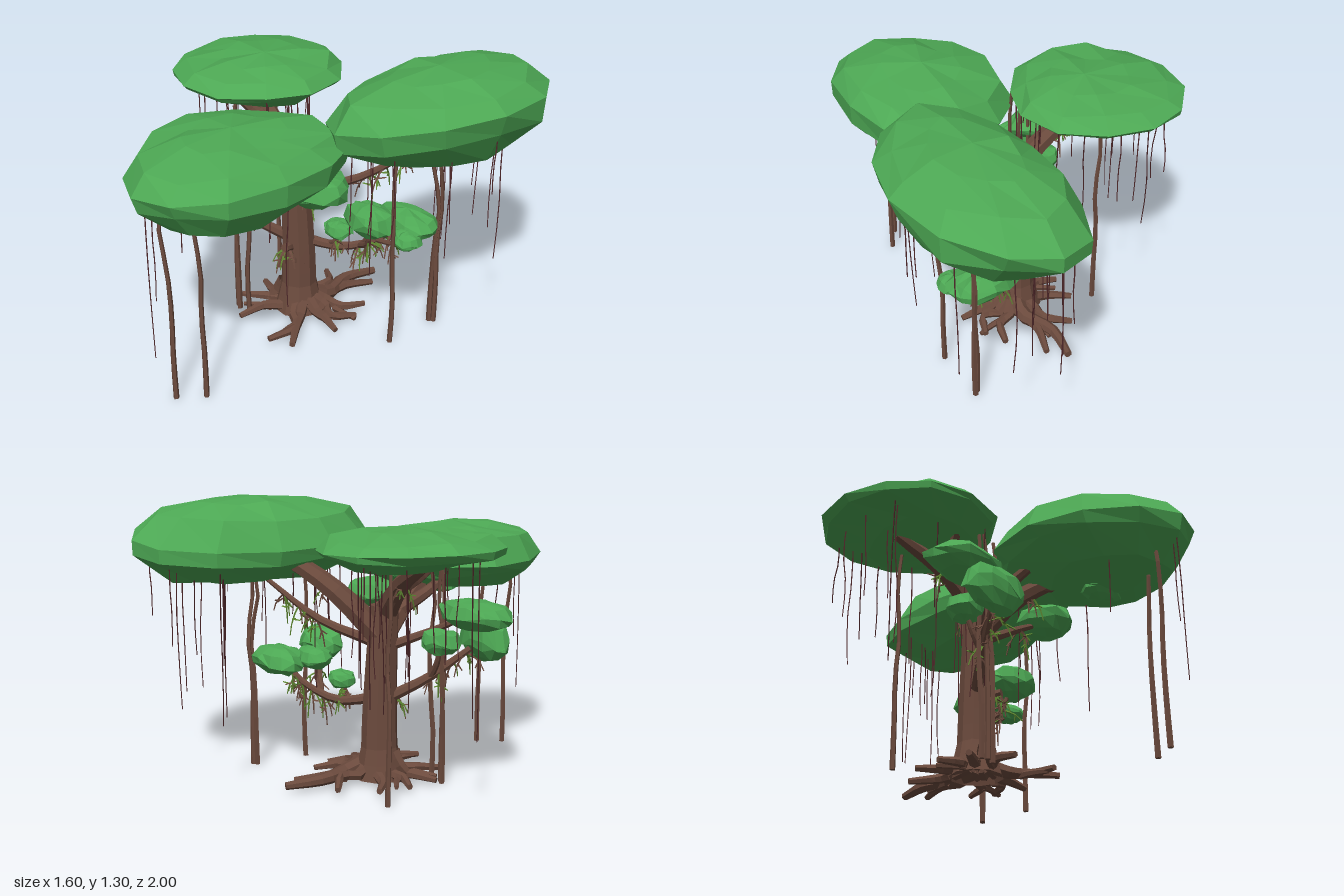
import * as THREE from 'three';

const flat = (name, color) => {
  const m = new THREE.MeshStandardMaterial({ color, flatShading: true, side: THREE.DoubleSide });
  m.name = name;
  return m;
};

let seed = 7;
const rnd = () => (seed = (seed * 16807) % 2147483647) / 2147483647;
const jit = (a) => (rnd() * 2 - 1) * a;
const curveOf = (points) => new THREE.CatmullRomCurve3(points.map((p) => new THREE.Vector3(...p)));

// Tapered tube through points; the last ring folds into a flat end cap
function limb(points, r0, r1, sides = 6, seg = 8, flare = 0) {
  const curve = curveOf(points);
  const geo = new THREE.TubeGeometry(curve, seg, 1, sides);
  const pos = geo.attributes.position, v = new THREE.Vector3();
  for (let i = 0; i <= seg; i++) {
    const t = Math.min(1, i / (seg - 1)), from = curve.getPointAt(i / seg), to = curve.getPointAt(t);
    const r = i === seg ? 0 : r0 + (r1 - r0) * t + flare * Math.max(0, 1 - t * 6);
    for (let j = 0; j <= sides; j++) {
      const k = i * (sides + 1) + j;
      v.fromBufferAttribute(pos, k).sub(from).multiplyScalar(r).add(to);
      pos.setXYZ(k, v.x, v.y, v.z);
    }
  }
  return geo;
}

// Twelve-sided oval rim [x, z] whose ends bow sideways; the extremes stay exact, the rest wobble
function oval(x, z, a, b, wobble, bow = 0) {
  return Array.from({ length: 12 }, (_, i) => {
    const t = (i / 12) * Math.PI * 2, s = i % 3 ? 1 + jit(wobble) : 1;
    return [x + Math.cos(t) * a * s + bow * Math.sin(t) ** 2, z + Math.sin(t) * b * s];
  });
}

// Faceted leaf mass: rings between a crown point, a rim outline and a lowest point
function foliage(outline, rimY, top, bottom, rough) {
  const n = outline.length, verts = [];
  // fraction of the rim radius, fraction of the height, upper or lower side
  const levels = [[0, 1, 1], [0.45, 0.95, 1], [0.82, 0.68, 1], [1, 0, 1], [0.94, 0.4, -1], [0.6, 0.88, -1], [0, 1, -1]];
  const rings = levels.map(([f, h, side]) => outline.map(([x, z]) => {
    const c = side > 0 ? top : bottom, y = rimY(x), inner = f > 0 && f < 1;
    const g = inner ? f * (1 + jit(0.06)) : f, dy = inner ? jit(rough) - rough * 0.8 : 0;
    return [c[0] + (x - c[0]) * g, y + (c[1] - y) * h + dy * side, c[2] + (z - c[2]) * g];
  }));
  for (let k = 0; k < rings.length - 1; k++) {
    const u = rings[k], l = rings[k + 1];
    for (let i = 0; i < n; i++) {
      const j = (i + 1) % n;
      if (k < rings.length - 2) verts.push(...u[j], ...l[j], ...l[i]);
      if (k > 0) verts.push(...u[j], ...l[i], ...u[i]);
    }
  }
  const geo = new THREE.BufferGeometry();
  geo.setAttribute('position', new THREE.Float32BufferAttribute(verts, 3));
  geo.computeVertexNormals();
  return geo;
}

export function createModel() {
  const leaf = flat('leafGreen', 0x4da854), bark = flat('barkBrown', 0x6b4a3d);
  const vineMat = flat('vineRedBrown', 0x4c2628), moss = flat('mossGreen', 0x5c8430);
  const tree = new THREE.Group();
  tree.name = 'tree';
  const part = (name) => { const g = new THREE.Group(); g.name = name; tree.add(g); return g; };
  const add = (parent, name, geo, mat) => {
    const m = new THREE.Mesh(geo, mat);
    m.name = name;
    parent.add(m);
  };
  const crown = part('canopies'), vines = part('hangingVines'), clumps = part('leafClumps');
  const wood = part('trunkAndBranches'), sprays = part('twigsAndMoss');
  const roots = part('groundRoots'), aerial = part('aerialRoots');

  // Big canopy on a sloping oval rim, with thin vines hanging below
  function canopy(name, [x, z, a, b, bow], [rim, slope], top, bottom, vineCount) {
    const outline = oval(x, z, a, b, 0.04, bow), rimY = (px) => rim + slope * (px - x);
    add(crown, name, foliage(outline, rimY, top, bottom, 0.016), leaf);
    for (let i = 0; i < vineCount; i++) {
      const p = outline[Math.floor(rnd() * 12)], f = 0.5 + rnd() * 0.4;
      const vx = bottom[0] + (p[0] - bottom[0]) * f, vz = bottom[2] + (p[1] - bottom[2]) * f;
      const y = rimY(vx) - 0.02, end = Math.max(0.25, y - 0.3 - rnd() * 0.5);
      const pts = [0, 0.33, 0.67, 1].map((t) => [vx + jit(0.008), y + (end - y) * t, vz + jit(0.008)]);
      add(vines, 'vine', limb(pts, 0.0035, 0.0025, 3, 6), vineMat);
    }
  }
  canopy('rightCanopy', [-0.41, -0.06, 0.39, 0.41, -0.02], [1.12, -0.03], [-0.36, 1.21, -0.05], [-0.27, 1.02, 0], 20);
  canopy('frontCanopy', [0.145, 0.495, 0.385, 0.5, 0.05], [1.02, 0.09], [0.16, 1.17, 0.5], [0.28, 0.82, 0.66], 4);
  canopy('backCanopy', [0.44, -0.42, 0.36, 0.58, -0.04], [1.13, 0.16], [0.42, 1.3, -0.4], [0.5, 0.89, -0.5], 20);

  // Small leaf clump: centre and half sizes
  function clump([x, y, z], [a, h, b]) {
    add(clumps, 'leafClump', foliage(oval(x, z, a, b, 0.12), () => y + jit(h * 0.35), [x, y + h, z], [x, y - h, z], h * 0.1), leaf);
  }

  // Drooping spray of twigs or moss
  function spray({ x, y, z }) {
    for (let i = 0; i < 4; i++) {
      const dx = jit(0.07), dz = jit(0.07), dy = -0.05 - rnd() * 0.09;
      const mid = [x + dx * 0.7, y + dy * 0.45, z + dz * 0.7], mat = i % 3 ? moss : bark;
      add(sprays, 'twig', limb([[x, y, z], mid, [x + dx, y + dy, z + dz]], 0.006, 0.003, 3, 4), mat);
      for (let k = 0; k < 2; k++) {
        add(sprays, 'sprig', limb([mid, [mid[0] + jit(0.035), mid[1] - 0.01 + jit(0.025), mid[2] + jit(0.035)]], 0.005, 0.003, 3, 2), mat);
      }
    }
  }

  // Branch with sprays along it and, where it has leaf sizes, a clump at its tip
  function branch(r0, r1, points, sprayCount = 0, leafSize = null) {
    add(wood, 'branch', limb(points, r0, r1, 7, 8), bark);
    const curve = curveOf(points);
    for (let i = 0; i < sprayCount; i++) spray(curve.getPointAt(0.5 + (0.45 * i) / sprayCount));
    if (leafSize) clump(points[points.length - 1], leafSize);
  }

  add(wood, 'trunk', limb([[-0.04, 0.015, 0], [-0.04, 0.3, 0], [-0.045, 0.6, 0.01], [-0.05, 0.82, 0.02]],
    0.09, 0.066, 10, 12, 0.03), bark);

  // Limbs carrying the canopies
  branch(0.055, 0.025, [[-0.05, 0.78, 0.02], [-0.22, 0.93, 0], [-0.5, 1.05, -0.05]], 1);
  branch(0.035, 0.018, [[-0.2, 0.91, 0], [-0.28, 0.98, 0.07], [-0.32, 1.07, 0.15]]);
  branch(0.062, 0.035, [[-0.04, 0.68, 0], [0.05, 0.86, -0.15], [0.16, 0.97, -0.26], [0.32, 1.06, -0.38]], 1);
  branch(0.055, 0.028, [[-0.05, 0.7, 0.03], [0.02, 0.83, 0.18], [0.2, 0.97, 0.45]], 1);
  branch(0.035, 0.018, [[-0.02, 0.78, 0.1], [-0.06, 0.87, 0.24], [-0.02, 0.96, 0.4]]);
  branch(0.026, 0.01, [[0, 0.65, -0.02], [0.18, 0.74, -0.2], [0.38, 0.92, -0.38]], 3);

  // Lower branches with leaf clumps
  branch(0.028, 0.012, [[-0.08, 0.4, 0.04], [-0.19, 0.5, 0.18], [-0.32, 0.68, 0.38]], 3, [0.17, 0.105, 0.075]);
  branch(0.018, 0.009, [[-0.19, 0.5, 0.18], [-0.25, 0.58, 0.18], [-0.29, 0.68, 0.17]], 0, [0.09, 0.06, 0.08]);
  branch(0.024, 0.01, [[-0.08, 0.64, 0.05], [-0.18, 0.7, 0.16], [-0.38, 0.81, 0.28]], 0, [0.21, 0.065, 0.13]);
  branch(0.026, 0.011, [[-0.02, 0.39, -0.02], [0.1, 0.36, -0.13], [0.24, 0.42, -0.24], [0.34, 0.53, -0.33]], 4, [0.17, 0.07, 0.11]);
  branch(0.016, 0.008, [[0.18, 0.38, -0.19], [0.28, 0.45, -0.15], [0.32, 0.6, -0.12]], 1, [0.13, 0.08, 0.1]);
  branch(0.012, 0.006, [[0.06, 0.37, -0.1], [0.1, 0.4, -0.1], [0.11, 0.46, -0.12]], 2, [0.07, 0.045, 0.065]);
  branch(0.014, 0.006, [[0.24, 0.42, -0.24], [0.36, 0.45, -0.24], [0.44, 0.51, -0.24]], 1, [0.075, 0.045, 0.07]);
  branch(0.012, 0.006, [[0.18, 0.38, -0.19], [0.23, 0.45, -0.19], [0.22, 0.55, -0.2]], 0, [0.11, 0.055, 0.08]);
  branch(0.024, 0.01, [[0, 0.68, 0.03], [0.13, 0.75, 0.1], [0.29, 0.83, 0.14]], 1, [0.13, 0.075, 0.14]);
  branch(0.02, 0.009, [[0.06, 0.88, 0.26], [0.15, 0.87, 0.38], [0.25, 0.855, 0.5]], 0, [0.11, 0.05, 0.085]);
  branch(0.026, 0.02, [[-0.03, 0.36, 0.05], [-0.01, 0.385, 0.09], [0, 0.39, 0.115]], 3);

  // Spreading ground roots with side forks
  for (let i = 0; i < 11; i++) {
    const a = ((i + 0.25) / 11) * Math.PI * 2 + jit(0.16), c = Math.cos(a), s = Math.sin(a);
    const len = (0.24 + rnd() * 0.07) * (1 + 0.25 * s * s), bend = jit(0.06), lift = 0.032 + rnd() * 0.02;
    const at = (d, y, k = 0) => [-0.01 + c * d - s * k, y, -0.02 * s * s + s * d + c * k];
    add(roots, 'root', limb([at(0.05, 0.08), at(0.12, 0.045), at(len * 0.6, lift, bend), at(len, 0.03, -bend * 0.3)],
      0.032, 0.014, 6, 8), bark);
    if (i % 2) add(roots, 'rootFork', limb([at(len * 0.5, 0.03, bend), at(len * 0.65, 0.03, bend + 0.04), at(len * 0.85, 0.024, bend + 0.08)],
      0.018, 0.011, 5, 4), bark);
  }
  add(roots, 'longBackRoot', limb([[0, 0.08, -0.06], [0.01, 0.05, -0.14], [-0.05, 0.045, -0.3], [-0.025, 0.035, -0.47]], 0.042, 0.018, 7, 9), bark);
  add(roots, 'raisedRoot', limb([[-0.1, 0.14, 0.04], [-0.13, 0.08, 0.06], [-0.15, 0.03, 0.1]], 0.035, 0.02, 6, 5), bark);

  // Aerial roots from the canopies to the ground
  for (const [x, z] of [[0.19, 0.85], [0.26, 0.74], [-0.39, -0.15], [-0.21, 0.23], [-0.235, 0.22], [-0.16, 0.21],
    [0.45, -0.43], [0.435, -0.415], [0.45, -0.15]]) {
    const pts = [0, 0.2, 0.4, 0.6, 0.8, 1].map((t) => [x + (1 - t) * jit(0.025), 1.06 * (1 - t), z + (1 - t) * jit(0.025)]);
    add(aerial, 'aerialRoot', limb(pts, 0.008, 0.013, 5, 10), bark);
  }
  return tree;
}
